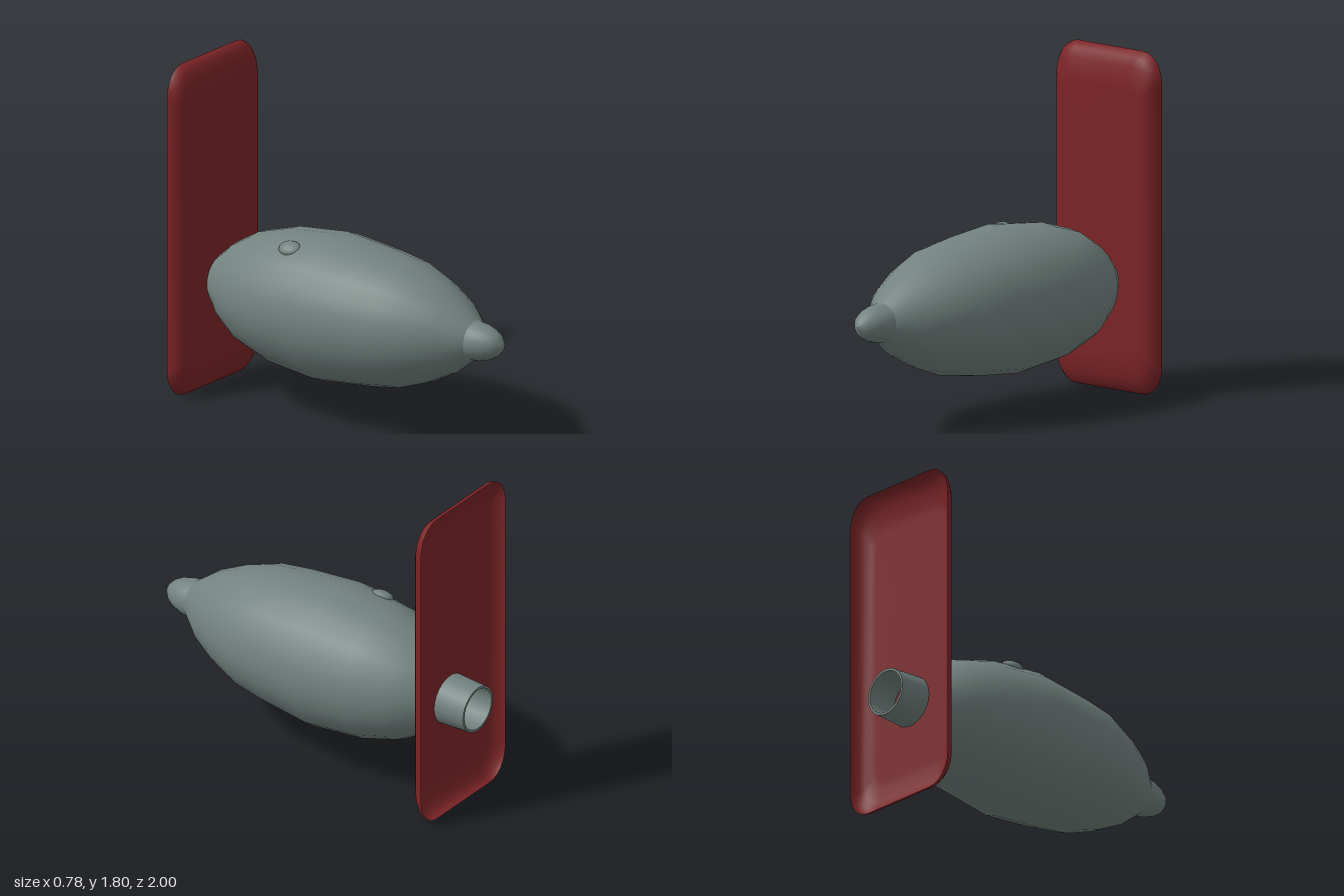
import * as THREE from 'three';

const AXIS_Y = 0.585;

// Turned part lying along z: points are [z, radius], ordered back to front
function turned(name, points, material, sides = 24) {
  const geo = new THREE.LatheGeometry(points.map(([z, r]) => new THREE.Vector2(r, z)), sides);
  geo.rotateX(Math.PI / 2);
  const mesh = new THREE.Mesh(geo, material);
  mesh.name = name;
  mesh.position.y = AXIS_Y;
  return mesh;
}

// Rounded rectangle loop, counter-clockwise seen from +z
function roundedLoop(hw, hh, rx, ry, z, steps = 6) {
  const out = [];
  [[1, 1], [-1, 1], [-1, -1], [1, -1]].forEach(([sx, sy], q) => {
    for (let i = 0; i <= steps; i++) {
      const a = (q + i / steps) * Math.PI / 2;
      out.push(sx * (hw - rx) + rx * Math.cos(a), sy * (hh - ry) + ry * Math.sin(a), z);
    }
  });
  return out;
}

// Shallow dished plate, open at the back
function dishedPlate() {
  const rings = [ // z, inset x, inset y
    [-0.905, 0, 0], [-0.88, 0.004, 0.006], [-0.855, 0.02, 0.03],
    [-0.835, 0.042, 0.08], [-0.822, 0.075, 0.15], [-0.82, 0.11, 0.2],
  ];
  const pos = [], idx = [];
  for (const [z, ix, iy] of rings) {
    pos.push(...roundedLoop(0.36 - ix, 0.9 - iy, Math.max(0.13 - ix * 0.5, 0.06), Math.max(0.16 - iy * 0.5, 0.06), z));
  }
  const n = pos.length / 3 / rings.length;
  for (let r = 0; r < rings.length - 1; r++) {
    for (let i = 0; i < n; i++) {
      const a = r * n + i, b = r * n + (i + 1) % n;
      idx.push(a, b, b + n, a, b + n, a + n);
    }
  }
  const centre = pos.length / 3, last = (rings.length - 1) * n;
  pos.push(0, 0, -0.82);
  for (let i = 0; i < n; i++) idx.push(last + i, last + (i + 1) % n, centre);
  const geo = new THREE.BufferGeometry();
  geo.setAttribute('position', new THREE.Float32BufferAttribute(pos, 3));
  geo.setIndex(idx);
  geo.computeVertexNormals();
  return geo;
}

export function createModel() {
  const grey = new THREE.MeshStandardMaterial({ color: 0x73827f, side: THREE.DoubleSide });
  grey.name = 'slate grey';
  const red = new THREE.MeshStandardMaterial({ color: 0x7c2426, side: THREE.DoubleSide });
  red.name = 'dark red';

  const model = new THREE.Group();
  model.name = 'podWithPlate';

  // Spindle-shaped body
  model.add(turned('body', [
    [-0.83, 0.125], [-0.72, 0.222], [-0.59, 0.3], [-0.39, 0.36], [-0.09, 0.392],
    [0.2, 0.364], [0.39, 0.335], [0.55, 0.277], [0.7, 0.2], [0.82, 0.105],
  ], grey));

  // Rounded nose tip
  model.add(turned('noseTip', [
    [0.78, 0.107], [0.82, 0.105], [0.87, 0.098], [0.92, 0.084],
    [0.96, 0.062], [0.985, 0.036], [1, 0],
  ], grey));

  // Low bump on the upper shoulder
  const bump = new THREE.Mesh(new THREE.SphereGeometry(0.05, 12, 8), grey);
  bump.name = 'shoulderBump';
  bump.scale.set(1, 0.6, 1.3);
  bump.rotation.z = 0.49;
  bump.position.set(-0.174, AXIS_Y + 0.326, -0.25);
  model.add(bump);

  // Upright plate
  const plate = new THREE.Mesh(dishedPlate(), red);
  plate.name = 'plate';
  plate.position.y = 0.9;
  model.add(plate);

  // Open tail tube: inner wall, rim and outer wall
  model.add(turned('tailTubeInner', [[-1, 0.115], [-0.82, 0.12]], grey));
  model.add(turned('tailTubeRim', [[-1, 0.115], [-1, 0.128]], grey));
  model.add(turned('tailTubeOuter', [[-1, 0.128], [-0.82, 0.137]], grey));

  return model;
}
